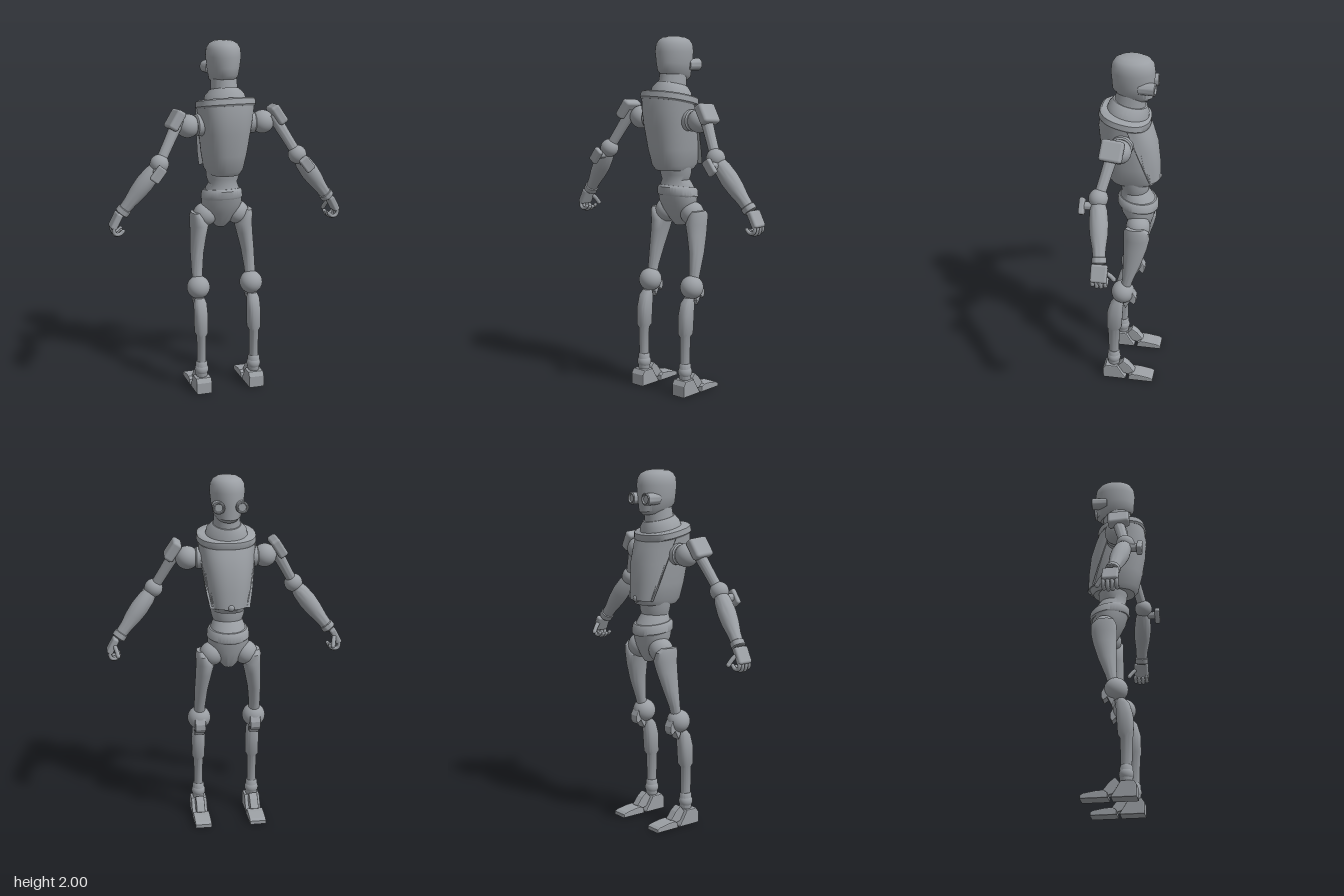
import * as THREE from 'three';
import { toCreasedNormals } from 'three/addons/utils/BufferGeometryUtils.js';
import { RoundedBoxGeometry } from 'three/addons/geometries/RoundedBoxGeometry.js';

const V = (x, y, z) => new THREE.Vector3(x, y, z);

export function createModel() {
  const model = new THREE.Group();
  model.name = 'robot';
  const grey = new THREE.MeshStandardMaterial({ color: 0x9b9fa4 });
  grey.name = 'grey';

  const add = (name, geometry, parent = model) => {
    const mesh = new THREE.Mesh(geometry, grey);
    mesh.name = name;
    parent.add(mesh);
    return mesh;
  };

  // Closed stack of horizontal superellipse rings, listed from bottom to top.
  // Each ring is { y, x, z, rx, rz, n (squareness), t (tilt in z), clip (largest z) }
  function loft(rings, seg = 40) {
    const pos = [], idx = [];
    for (const { y, x = 0, z = 0, rx, rz, n = 2, t = 0, clip = Infinity } of rings) {
      for (let i = 0; i < seg; i++) {
        const a = (i / seg) * Math.PI * 2, c = Math.cos(a), s = Math.sin(a);
        const px = Math.sign(c) * Math.abs(c) ** (2 / n) * rx;
        const pz = Math.min(z + Math.sign(s) * Math.abs(s) ** (2 / n) * rz, clip);
        pos.push(x + px, y + t * (pz - z), pz);
      }
    }
    const last = (rings.length - 1) * seg;
    for (let r = 0; r < last; r += seg) {
      for (let i = 0; i < seg; i++) {
        const j = (i + 1) % seg;
        idx.push(r + i, r + seg + i, r + j, r + j, r + seg + i, r + seg + j);
      }
    }
    for (let i = 1; i < seg - 1; i++) {
      idx.push(0, i, i + 1, last, last + i + 1, last + i);
    }
    const g = new THREE.BufferGeometry();
    g.setAttribute('position', new THREE.Float32BufferAttribute(pos, 3));
    g.setIndex(idx);
    return toCreasedNormals(g, 0.65);
  }

  // Turns a mesh so its y axis follows a to b while its z stays near world z
  function align(mesh, a, b, at = a) {
    const y = b.clone().sub(a).normalize();
    const ref = Math.abs(y.z) > 0.9 ? V(0, 1, 0) : V(0, 0, 1);
    const x = y.clone().cross(ref).normalize();
    const z = x.clone().cross(y);
    mesh.quaternion.setFromRotationMatrix(new THREE.Matrix4().makeBasis(x, y, z));
    mesh.position.copy(at);
    return mesh;
  }

  // Round limb from a to b; profile is [fraction along, radius]
  function limb(name, a, b, profile, parent) {
    const len = a.distanceTo(b);
    const pts = profile.map(([f, r]) => new THREE.Vector2(r, f * len));
    pts.unshift(new THREE.Vector2(0, pts[0].y));
    pts.push(new THREE.Vector2(0, pts[pts.length - 1].y));
    const g = toCreasedNormals(new THREE.LatheGeometry(pts, 28), 0.65);
    return align(add(name, g, parent), a, b);
  }

  function ball(name, r, x, y, z, parent) {
    const mesh = add(name, new THREE.SphereGeometry(r, 32, 20), parent);
    mesh.position.set(x, y, z);
    return mesh;
  }

  // Side outline of [z, y] points, extruded across x
  function sideSlab(name, pts, x, width, parent) {
    const bevel = 0.006;
    const shape = new THREE.Shape(pts.map(([z, y]) => new THREE.Vector2(-z, y)));
    const g = new THREE.ExtrudeGeometry(shape, {
      depth: width - 2 * bevel, bevelThickness: bevel, bevelSize: bevel,
      bevelOffset: -bevel, bevelSegments: 2
    });
    g.translate(0, 0, bevel - width / 2);
    g.rotateY(Math.PI / 2);
    add(name, g, parent).position.x = x;
  }

  // Head and eyes
  add('head', loft([
    { y: 1.775, z: -0.025, rx: 0.06, rz: 0.09, t: 0.25 },
    { y: 1.795, z: -0.028, rx: 0.077, rz: 0.109, t: 0.22 },
    { y: 1.85, z: -0.03, rx: 0.088, rz: 0.113, t: 0.06 },
    { y: 1.915, z: -0.03, rx: 0.096, rz: 0.118 },
    { y: 1.955, z: -0.03, rx: 0.092, rz: 0.112 },
    { y: 1.98, z: -0.028, rx: 0.077, rz: 0.094 },
    { y: 1.994, z: -0.026, rx: 0.052, rz: 0.065 },
    { y: 2.0, z: -0.025, rx: 0.015, rz: 0.02 }
  ]));
  for (const s of [1, -1]) {
    limb('eye', V(s * 0.058, 1.843, -0.07), V(s * 0.064, 1.843, -0.16),
      [[0, 0.032], [0.95, 0.034], [1, 0.029], [1, 0.024], [0.9, 0.021]]);
  }

  // Neck and collar
  add('neck', loft([
    { y: 1.7, z: -0.01, rx: 0.076, rz: 0.085, t: 0.22 },
    { y: 1.8, z: -0.024, rx: 0.07, rz: 0.078, t: 0.22 }
  ]));
  add('neckBase', loft([
    { y: 1.66, z: 0, rx: 0.12, rz: 0.115, t: 0.22 },
    { y: 1.705, z: -0.008, rx: 0.11, rz: 0.108, t: 0.22 },
    { y: 1.735, z: -0.015, rx: 0.078, rz: 0.092, t: 0.22 }
  ]));
  add('collar', loft([
    { y: 1.635, z: 0.012, rx: 0.156, rz: 0.135, n: 2.4, t: 0.22 },
    { y: 1.645, z: 0.012, rx: 0.164, rz: 0.14, n: 2.4, t: 0.22 },
    { y: 1.675, z: 0.008, rx: 0.162, rz: 0.136, n: 2.4, t: 0.22 },
    { y: 1.682, z: 0.008, rx: 0.152, rz: 0.126, n: 2.4, t: 0.22 }
  ]));

  // Torso shell, with a raised chest plate that follows it
  const torso = [
    { y: 1.262, z: -0.035, rx: 0.088, rz: 0.118, n: 2.4 },
    { y: 1.29, z: -0.035, rx: 0.104, rz: 0.14, n: 2.4 },
    { y: 1.38, z: -0.024, rx: 0.122, rz: 0.149, n: 2.4 },
    { y: 1.5, z: -0.007, rx: 0.138, rz: 0.153, n: 2.4, t: 0.05 },
    { y: 1.59, z: 0.009, rx: 0.149, rz: 0.144, n: 2.4, t: 0.13 },
    { y: 1.64, z: 0.013, rx: 0.156, rz: 0.131, n: 2.4, t: 0.22 }
  ];
  add('torso', loft(torso));
  add('chestPlate', loft(torso.slice(1).map(r => ({
    ...r, rx: r.rx + 0.006, rz: r.rz + 0.008, clip: -0.02 - (1.65 - r.y) * 0.34
  })), 64));
  ball('bellyKnob', 0.022, 0, 1.3, -0.168);

  // Waist and pelvis
  add('waist', loft([
    { y: 1.15, z: -0.055, rx: 0.1, rz: 0.098 },
    { y: 1.175, z: -0.05, rx: 0.094, rz: 0.088 },
    { y: 1.205, z: -0.043, rx: 0.081, rz: 0.074 },
    { y: 1.235, z: -0.043, rx: 0.092, rz: 0.08 },
    { y: 1.28, z: -0.04, rx: 0.097, rz: 0.083 }
  ]));
  add('belt', loft([
    { y: 1.105, z: -0.06, rx: 0.113, rz: 0.108, t: 0.15 },
    { y: 1.115, z: -0.06, rx: 0.119, rz: 0.114, t: 0.15 },
    { y: 1.15, z: -0.06, rx: 0.115, rz: 0.112, t: 0.15 },
    { y: 1.163, z: -0.06, rx: 0.105, rz: 0.102, t: 0.15 }
  ]));
  add('pelvis', loft([
    { y: 0.94, z: -0.08, rx: 0.028, rz: 0.03 },
    { y: 0.975, z: -0.077, rx: 0.06, rz: 0.052 },
    { y: 1.03, z: -0.07, rx: 0.097, rz: 0.076 },
    { y: 1.08, z: -0.063, rx: 0.116, rz: 0.094 },
    { y: 1.13, z: -0.06, rx: 0.115, rz: 0.105 }
  ]));

  for (const s of [1, -1]) {
    const side = s > 0 ? 'left' : 'right';

    // Leg
    const leg = new THREE.Group();
    leg.name = side + 'Leg';
    model.add(leg);
    const lx = s * 0.158;
    ball('hipJoint', 0.068, s * 0.095, 1.015, -0.075, leg);
    const ring = (y, x, z, rx, rz, n) => ({ y, x: s * x, z, rx, rz, n });
    add('thigh', loft([
      ring(0.61, 0.158, -0.008, 0.028, 0.026), ring(0.7, 0.157, -0.028, 0.032, 0.032),
      ring(0.8, 0.151, -0.05, 0.037, 0.05), ring(0.9, 0.138, -0.066, 0.045, 0.066),
      ring(0.96, 0.13, -0.072, 0.052, 0.073), ring(1.01, 0.145, -0.072, 0.038, 0.07),
      ring(1.035, 0.154, -0.065, 0.024, 0.05)
    ], 28), leg);
    ball('knee', 0.066, lx, 0.61, 0, leg);
    sideSlab('kneeCap', [[-0.03, 0.64], [-0.062, 0.62], [-0.078, 0.59], [-0.078, 0.56],
      [-0.066, 0.54], [-0.045, 0.56], [-0.02, 0.51], [-0.005, 0.54]], lx, 0.06, leg);
    limb('kneeLink', V(lx, 0.6, 0), V(lx, 0.5, 0.03), [[0, 0.024], [1, 0.024]], leg);
    add('shin', loft([
      ring(0.1, 0.158, 0.055, 0.024, 0.028), ring(0.335, 0.158, 0.055, 0.027, 0.034),
      ring(0.355, 0.158, 0.052, 0.037, 0.043, 2.6), ring(0.46, 0.158, 0.047, 0.038, 0.045, 2.6),
      ring(0.525, 0.158, 0.036, 0.036, 0.038, 2.6), ring(0.555, 0.158, 0.026, 0.026, 0.024)
    ], 28), leg);
    add('ankleSleeve', loft([
      ring(0.085, 0.158, 0.055, 0.03, 0.03), ring(0.1, 0.158, 0.055, 0.034, 0.035),
      ring(0.172, 0.158, 0.055, 0.034, 0.035), ring(0.182, 0.158, 0.055, 0.028, 0.029)
    ], 28), leg);
    ball('ankle', 0.04, lx, 0.132, 0.055, leg);
    sideSlab('heel', [[0.115, 0], [0.115, 0.065], [0.098, 0.09], [0.03, 0.09],
      [0, 0.04], [-0.02, 0.01], [-0.02, 0]], lx, 0.092, leg);
    sideSlab('instep', [[0.04, 0.06], [0.02, 0.09], [-0.003, 0.115], [-0.035, 0.09],
      [-0.07, 0.045], [-0.05, 0.015], [0, 0.03]], lx, 0.05, leg);
    sideSlab('toe', [[-0.035, 0], [-0.04, 0.03], [-0.06, 0.043], [-0.1, 0.041],
      [-0.165, 0.03], [-0.183, 0.02], [-0.183, 0]], lx, 0.095, leg);

    // Arm
    const arm = new THREE.Group();
    arm.name = side + 'Arm';
    model.add(arm);
    const P = (x, y, z) => V(s * x, y, z);
    const elbow = P(0.397, 1.362, 0.085), wrist = P(0.61, 1.085, 0.043);
    const top = P(0.27, 1.585, 0.025);
    limb('shoulderSocket', P(0.09, 1.545, 0), P(0.172, 1.545, 0.005),
      [[0, 0.06], [0.92, 0.06], [1, 0.052]], arm);
    ball('shoulder', 0.065, s * 0.216, 1.545, 0.008, arm);
    align(add('shoulderPad', new RoundedBoxGeometry(0.055, 0.115, 0.122, 3, 0.016), arm),
      P(0, 0, 0), P(0.11, -0.17, 0.02), P(0.293, 1.587, 0.033));
    limb('upperArm', top, elbow, [[0, 0.034], [0.5, 0.03], [1, 0.028]], arm);
    ball('elbow', 0.052, elbow.x, elbow.y, elbow.z, arm);
    limb('elbowPin', P(0.42, 1.325, 0.09), P(0.42, 1.325, 0.165), [[0, 0.022], [1, 0.022]], arm);
    align(add('elbowPlate', new RoundedBoxGeometry(0.056, 0.09, 0.03, 3, 0.01), arm),
      elbow, P(0.61, 1.085, 0.085), P(0.424, 1.322, 0.167));
    limb('forearm', elbow, wrist, [[0.08, 0.036], [0.18, 0.046], [0.38, 0.051],
      [0.55, 0.047], [0.75, 0.036], [0.98, 0.031]], arm);
    limb('wristCuff', elbow, wrist, [[0.87, 0.034], [0.88, 0.039], [0.96, 0.039], [0.97, 0.033]], arm);

    // Hand with curled fingers and a thumb
    align(add('palm', new RoundedBoxGeometry(0.036, 0.095, 0.088, 3, 0.012), arm),
      P(0, 0, 0), P(0.042, -0.08, 0), P(0.635, 1.055, 0.04));
    for (let i = 0; i < 4; i++) {
      const z = 0.074 - i * 0.023, d = i === 0 || i === 3 ? 0.008 : 0;
      const curl = new THREE.CatmullRomCurve3([P(0.645, 1.04, z), P(0.654, 1.005, z),
        P(0.643, 0.978 + d, z), P(0.618, 0.978 + d, z), P(0.602, 0.992 + d, z)]);
      add('finger', new THREE.TubeGeometry(curl, 14, 0.0105, 10), arm);
      ball('fingertip', 0.0105, s * 0.602, 0.992 + d, z, arm);
    }
    const thumb = new THREE.CatmullRomCurve3([P(0.63, 1.065, 0.015), P(0.618, 1.04, -0.012),
      P(0.61, 1.01, -0.033)]);
    add('thumb', new THREE.TubeGeometry(thumb, 10, 0.0125, 10), arm);
    ball('thumbTip', 0.0125, s * 0.61, 1.01, -0.033, arm);
  }
  return model;
}
